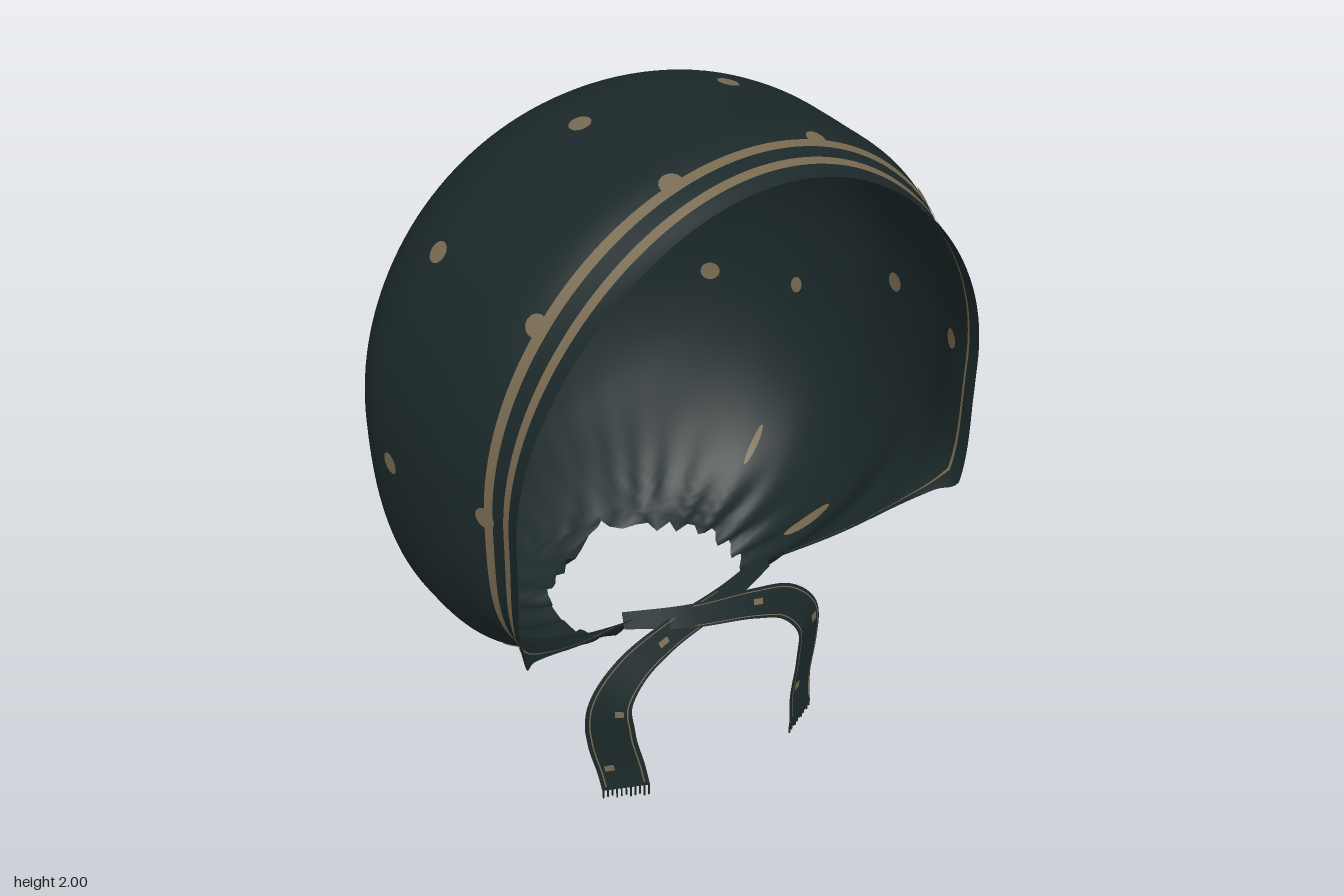
import * as THREE from 'three';

const mat = (name, color) => {
  const m = new THREE.MeshStandardMaterial({ color, side: THREE.DoubleSide });
  m.name = name;
  return m;
};

// Smooth sheet from a rule fn(i, j), with i and j in 0..1
function sheet(fn, rows, cols) {
  const pos = [], idx = [];
  for (let r = 0; r <= rows; r++)
    for (let c = 0; c <= cols; c++) pos.push(...fn(r / rows, c / cols).toArray());
  for (let r = 0; r < rows; r++)
    for (let c = 0; c < cols; c++) {
      const a = r * (cols + 1) + c, b = a + cols + 1;
      idx.push(a, b, a + 1, a + 1, b, b + 1);
    }
  const g = new THREE.BufferGeometry();
  g.setAttribute('position', new THREE.Float32BufferAttribute(pos, 3));
  g.setIndex(idx);
  g.computeVertexNormals();
  return g;
}

// Cross-sections front to back: z, half width, top, bottom, lower roundness, half gap at the neck
const MID = 1.22;
const SECTIONS = [
  [0.55, 0.7, 1.95, 0.616, 4.5, 0.68],
  [0.5, 0.695, 1.97, 0.664, 4, 0.63],
  [0.44, 0.703, 1.985, 0.663, 3.6, 0.54],
  [0.37, 0.73, 2.0, 0.625, 3.2, 0.385],
  [0.3, 0.755, 1.995, 0.58, 2.9, 0.22],
  [0.2, 0.775, 1.985, 0.44, 2.6, 0.23],
  [0.1, 0.785, 1.98, 0.395, 2.5, 0.28],
  [0, 0.785, 1.975, 0.385, 2.5, 0.29],
  [-0.1, 0.757, 1.955, 0.4, 2.5, 0.25],
  [-0.2, 0.703, 1.908, 0.445, 2.4, 0.06],
  [-0.3, 0.622, 1.835, 0.55, 2.3, -0.25],
  [-0.39, 0.51, 1.73, 0.68, 2.2, -0.3],
  [-0.46, 0.392, 1.61, 0.795, 2.1, -0.3],
  [-0.515, 0.265, 1.475, 0.925, 2, -0.3],
  [-0.546, 0.135, 1.35, 1.07, 2, -0.3],
  [-0.555, 0, 1.22, 1.22, 2, -0.3],
];
const spline = (k) => new THREE.CatmullRomCurve3(
  SECTIONS.map((s) => new THREE.Vector3(s[k], s[k + 1], s[k + 2])), false, 'catmullrom');
const upper = spline(0), lower = spline(3);

function section(u) {
  const a = upper.getPoint(u), b = lower.getPoint(u);
  return { z: a.x, w: Math.max(a.y, 0), top: a.z, bot: b.x, n: b.y, gap: Math.max(b.z, 0) };
}

// Angle from the crown at which the lower half reaches a given half width
function angleAt(s, x) {
  const ratio = s.w > 0 ? Math.min(x / s.w, 1) : 0;
  return Math.PI - Math.asin(Math.pow(ratio, s.n / 2));
}

function uAt(z) {
  let lo = 0, hi = 1;
  for (let i = 0; i < 30; i++) {
    const m = (lo + hi) / 2;
    if (upper.getPoint(m).x > z) lo = m; else hi = m;
  }
  return lo;
}

// Point of the hood on a section, angle measured from the crown
function hoodPoint(s, angle) {
  const sn = Math.sin(angle), cs = Math.cos(angle);
  let x = s.w * sn, y = MID + (s.top - MID) * cs;
  if (cs < 0) {
    x = s.w * Math.sign(sn) * Math.pow(Math.abs(sn), 2 / s.n);
    y = MID - (MID - s.bot) * Math.pow(-cs, 2 / s.n);
  }
  // rim drawn in slightly, most at the shoulders of the arch
  const rim = THREE.MathUtils.smoothstep(s.z, 0.4, 0.55);
  const shoulder = cs > 0 ? 0.022 * Math.pow(2 * sn * cs, 2) : 0;
  x *= 1 - rim * (0.016 * THREE.MathUtils.smoothstep(y, 0.85, 1.2) + shoulder);
  y -= rim * shoulder * (y - MID);
  // gathered folds around the neck
  if (s.z < 0.27) {
    const fade = Math.exp(-Math.max(y - 0.42, 0) / 0.1) * Math.min(1, (0.27 - s.z) / 0.1);
    const wave = fade * Math.sin(26 * Math.atan2(x, s.z));
    y += 0.018 * wave;
    x *= 1 + 0.03 * wave;
  }
  return new THREE.Vector3(x, y, s.z);
}

// Stripe line at distance d inside the front edge, p runs 0..1 from hem to hem
function trimPoint(d, p, lift) {
  const q = Math.abs(p * 2 - 1), side = p < 0.5 ? -1 : 1;
  const zTop = 0.55 - d, split = 0.75;
  const z = q < split ? zTop : THREE.MathUtils.lerp(zTop, 0.32, (q - split) / (1 - split));
  const s = section(uAt(z));
  const end = angleAt(s, s.gap + d * 0.7);
  const v = hoodPoint(s, side * end * Math.min(q / split, 1));
  const out = new THREE.Vector3(v.x, v.y - 1.1, 0).normalize();
  return v.addScaledVector(out, lift);
}

export function createModel() {
  const model = new THREE.Group();
  const cloth = mat('dark green cloth', 0x1b2829);
  const tan = mat('tan print', 0x786950);
  const add = (name, geo, m, parent = model) => {
    const mesh = new THREE.Mesh(geo, m);
    mesh.name = name;
    parent.add(mesh);
    return mesh;
  };

  // Hood
  const hood = add('hood', sheet((i, j) => {
    const s = section(i);
    return hoodPoint(s, (j * 2 - 1) * angleAt(s, s.gap));
  }, 105, 140), cloth);

  // Two trim stripes behind the front edge and a fine line inside the rim
  for (const [d0, d1, lift] of [[0.034, 0.056, 0.004], [0.093, 0.118, 0.004], [0.03, 0.037, -0.004]])
    add('trimStripe', sheet((i, j) => trimPoint(i ? d1 : d0, j, lift), 1, 160), tan);

  // Printed dots, laid onto both faces of the hood by casting rays from its middle
  const centre = new THREE.Vector3(0, 1.2, 0);
  const caster = new THREE.Raycaster();
  function dot(x, y, z, wide = 0.028, tall = 0.028) {
    const dir = new THREE.Vector3(x, y, z).sub(centre);
    const reach = dir.length();
    dir.normalize();
    const a = new THREE.Vector3(0, 1, 0).cross(dir).normalize();
    const b = dir.clone().cross(a);
    for (const lift of [0.004, -0.004]) {
      add('printedDot', sheet((i, j) => {
        const t = j * Math.PI * 2, r = i / reach;
        const ray = dir.clone().addScaledVector(a, r * wide * Math.cos(t))
          .addScaledVector(b, r * tall * Math.sin(t)).normalize();
        caster.set(centre, ray);
        const hit = caster.intersectObject(hood)[0];
        return centre.clone().addScaledVector(ray, (hit ? hit.distance : reach) + lift);
      }, 3, 14), tan);
    }
  }
  const dots = [
    [0.21, 1.95, 0.06], [0.59, 1.72, 0.05], [0.215, 1.78, -0.33], [0.575, 1.49, -0.315],
    [0.78, 1.22, 0.1], [0.2, 1.27, -0.53], [0.5, 1.1, -0.4], [0.69, 1.08, -0.22, 0.016, 0.026],
    [0.2, 1.96, 0.43], [0.55, 1.71, 0.43], [0.7, 1.24, 0.43],
    [0.47, 0.54, 0.15, 0.018, 0.08], [0.53, 0.57, -0.17, 0.01, 0.07],
  ];
  for (const [x, ...rest] of dots) for (const side of [1, -1]) dot(x * side, ...rest);

  // Crossed ties with stripes, dots and fringe
  for (const side of [1, -1]) {
    const tie = new THREE.Group();
    tie.name = side > 0 ? 'tieFromLeft' : 'tieFromRight';
    const foot = side > 0 ? 0.028 : 0, front = side > 0 ? 0 : 0.015;
    const path = new THREE.CatmullRomCurve3([
      [0.24, 0.575, 0.28], [0.06, 0.55, 0.325 + front], [-0.14, 0.515, 0.345 + front], [-0.265, 0.46, 0.357],
      [-0.335, 0.37, 0.364], [-0.335, 0.25, 0.369], [-0.312, 0.13, 0.38], [-0.305, 0.035 + foot, 0.395],
    ].map(([x, y, z]) => new THREE.Vector3(x * side, y, z)));
    // point along the tie, a = -1..1 across its width
    const at = (t, a, lift) => {
      const along = path.getTangent(t);
      const across = new THREE.Vector3(-along.y, along.x, 0.5 * side).normalize();
      const half = 0.024 + 0.044 * Math.min(1, t * 1.5);
      const n = along.clone().cross(across).normalize();
      return path.getPoint(t).addScaledVector(across, a * half).addScaledVector(n, lift);
    };
    const strip = (name, t0, t1, a0, a1, lift, m, steps) =>
      add(name, sheet((i, j) => at(t0 + (t1 - t0) * i, a0 + (a1 - a0) * j, lift), steps, 4), m, tie);
    strip('ribbon', 0, 1, -1, 1, 0, cloth, 60);
    for (const lift of [0.003, -0.003]) {
      for (const e of [-0.8, 0.8]) strip('ribbonStripe', 0.15, 0.97, e - 0.03, e + 0.03, lift, tan, 50);
      for (const [t, a] of [[0.3, 0.1], [0.6, 0.45], [0.84, -0.45]])
        strip('ribbonDot', t - 0.015, t + 0.015, a - 0.2, a + 0.2, lift, tan, 2);
    }
    for (let k = 0; k < 11; k++) {
      const p = at(1, -0.95 + k * 0.19, 0);
      const low = foot + 0.004 * (k % 3), high = p.y + 0.003;
      const thread = add('fringeThread', new THREE.BoxGeometry(0.004, high - low, 0.004), cloth, tie);
      thread.position.set(p.x, (high + low) / 2, p.z);
    }
    model.add(tie);
  }
  return model;
}
